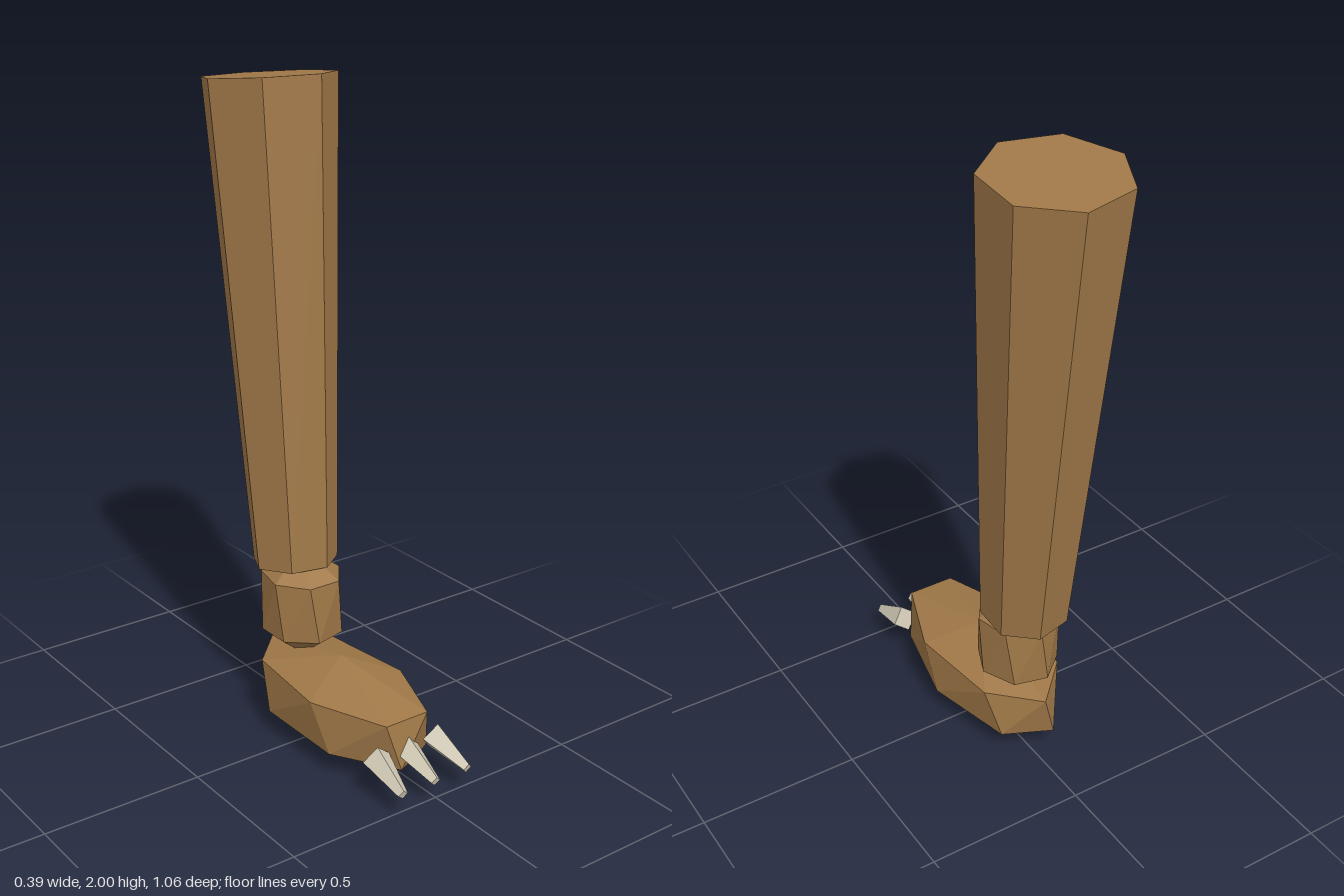
import * as THREE from 'three';

const UP = new THREE.Vector3(0, 1, 0);

// Tapered straight prism running between two points
function taper(name, from, to, rFrom, rTo, sides, thetaStart, material) {
  const a = new THREE.Vector3(...from), b = new THREE.Vector3(...to);
  const axis = b.clone().sub(a);
  const geometry = new THREE.CylinderGeometry(rTo, rFrom, axis.length(), sides, 1, false, thetaStart);
  const mesh = new THREE.Mesh(geometry, material);
  mesh.name = name;
  mesh.position.copy(a).add(b).multiplyScalar(0.5);
  mesh.quaternion.setFromUnitVectors(UP, axis.normalize());
  return mesh;
}

// Faceted lump: two seven-sided rings, the lower one twisted, closed by poles
function lump(name, [cx, cy, cz], [rx, ry, rz], material) {
  const n = 7, step = (Math.PI * 2) / n;
  const ring = (y, shift) => Array.from({ length: n }, (_, i) => {
    const t = (i - 0.5 + shift) * step;
    return [cx + rx * Math.sin(t), y, cz + rz * Math.cos(t)];
  });
  const upper = ring(cy + ry / 2, 0), lower = ring(cy - ry / 2, 0.25);
  const top = [cx, cy + ry, cz], bottom = [cx, cy - ry, cz];
  const points = [];
  for (let i = 0; i < n; i++) {
    const j = (i + 1) % n;
    points.push(top, upper[i], upper[j]);
    points.push(upper[i], lower[i], upper[j]);
    points.push(lower[i], lower[j], upper[j]);
    points.push(bottom, lower[j], lower[i]);
  }
  const geometry = new THREE.BufferGeometry();
  geometry.setAttribute('position', new THREE.Float32BufferAttribute(points.flat(), 3));
  geometry.computeVertexNormals();
  const mesh = new THREE.Mesh(geometry, material);
  mesh.name = name;
  return mesh;
}

export function createModel() {
  const hide = new THREE.MeshStandardMaterial({ name: 'brown hide', color: 0xa07848, flatShading: true });
  const horn = new THREE.MeshStandardMaterial({ name: 'pale claw', color: 0xd0c8b4, flatShading: true });
  const model = new THREE.Group();
  model.name = 'clawedLeg';

  // Leg leaning back, wider at the top
  model.add(taper('leg', [-0.011, 0.51, -0.19], [0.009, 1.982, -0.333], 0.134, 0.206, 7, -Math.PI / 2, hide));

  // Ankle and foot
  model.add(lump('ankle', [-0.011, 0.388, -0.152], [0.123, 0.185, 0.134], hide));
  model.add(lump('foot', [-0.022, 0.146, 0.064], [0.174, 0.142, 0.362], hide));

  // Three claws, fanning slightly outwards
  const claws = new THREE.Group();
  claws.name = 'claws';
  for (const side of [-1, 0, 1]) {
    claws.add(taper('claw', [-0.022 + side * 0.107, 0.125, 0.383], [-0.022 + side * 0.119, 0.078, 0.525],
      0.044, 0.016, 4, 0, horn));
  }
  model.add(claws);
  return model;
}
